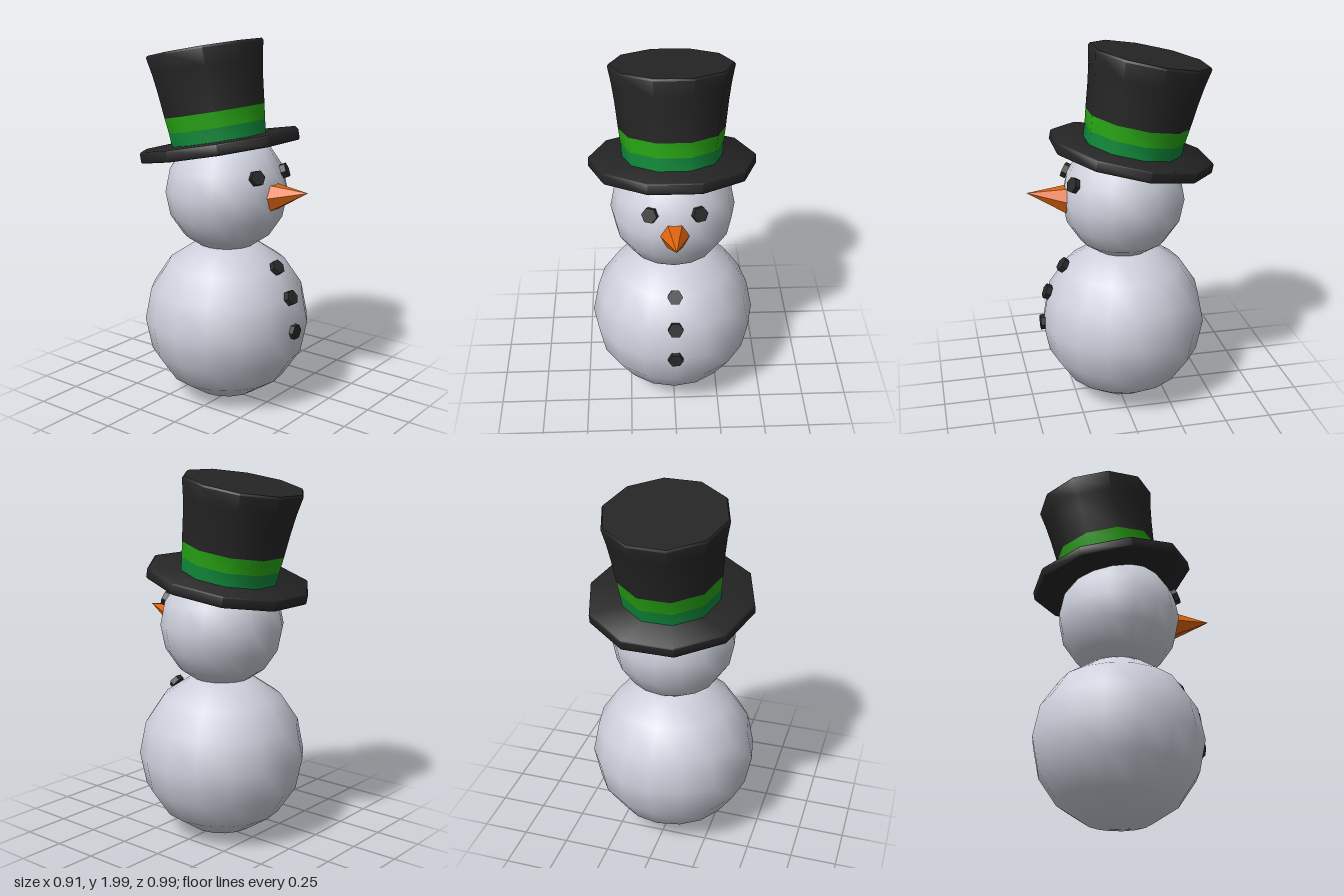
import * as THREE from 'three';
import { toCreasedNormals } from 'three/addons/utils/BufferGeometryUtils.js';

const material = (name, color) => {
  const m = new THREE.MeshStandardMaterial({ color });
  m.name = name;
  return m;
};

export function createModel() {
  const snow = material('snow', 0xcdd0dc);
  const black = material('black felt', 0x252525);
  const coal = material('coal', 0x2a2a2a);
  const carrot = material('carrot orange', 0xe0650f);
  const lightGreen = material('light green', 0x28a514);
  const darkGreen = material('dark green', 0x10893a);

  const model = new THREE.Group();
  model.name = 'snowman';

  const add = (name, geometry, mat, parent = model) => {
    const mesh = new THREE.Mesh(geometry, mat);
    mesh.name = name;
    parent.add(mesh);
    return mesh;
  };

  // Snowballs
  const ball = (name, radius, y) => {
    const mesh = add(name, new THREE.SphereGeometry(radius, 16, 8), snow);
    mesh.position.set(0, y, -0.03);
  };
  ball('body', 0.457, 0.462);
  ball('head', 0.335, 1.18);

  // Six-sided coal discs, facing along a given direction
  const up = new THREE.Vector3(0, 1, 0);
  const lump = (name, position, yaw, pitch) => {
    const geometry = toCreasedNormals(
      new THREE.CylinderGeometry(0.042, 0.042, 0.03, 6).rotateY(Math.PI / 6).rotateX(Math.PI / 2), 0.5);
    const mesh = add(name, geometry, coal);
    mesh.position.set(...position);
    mesh.rotation.set(-pitch, yaw, 0, 'YXZ');
  };
  lump('leftEye', [0.127, 1.305, 0.262], 0.4, 0.38);
  lump('rightEye', [-0.127, 1.305, 0.262], -0.4, 0.38);
  lump('topButton', [0, 0.802, 0.307], 0, 0.65);
  lump('middleButton', [0, 0.65, 0.398], 0, 0.42);
  lump('bottomButton', [0, 0.465, 0.426], 0, 0);

  // Carrot nose, tipped slightly upward
  const noseBase = new THREE.Vector3(0, 1.187, 0.275);
  const noseTip = new THREE.Vector3(0, 1.235, 0.494);
  const axis = noseTip.clone().sub(noseBase);
  const length = axis.length();
  const nose = add('nose', toCreasedNormals(
    new THREE.ConeGeometry(0.08, length, 6).rotateY(Math.PI / 6).translate(0, length / 2, 0), 0.5), carrot);
  nose.position.copy(noseBase);
  nose.quaternion.setFromUnitVectors(up, axis.normalize());

  // Ten-sided top hat, tilted back
  const hat = new THREE.Group();
  hat.name = 'hat';
  hat.position.set(0, 1.457, -0.079);
  hat.rotation.x = -0.195;
  model.add(hat);

  const turned = (name, profile, mat) => {
    const points = profile.map(([r, y]) => new THREE.Vector2(r, y));
    const geometry = new THREE.LatheGeometry(points, 10, Math.PI / 2);
    add(name, toCreasedNormals(geometry, 0.85), mat, hat);
  };
  turned('hatBrim', [[0, -0.06], [0.438, -0.06], [0.445, -0.053], [0.445, -0.007], [0.438, 0], [0, 0]], black);
  turned('hatBandLower', [[0.266, -0.005], [0.272, 0.072]], darkGreen);
  turned('hatBandUpper', [[0.272, 0.072], [0.282, 0.155]], lightGreen);
  turned('hatCrown', [[0.282, 0.155], [0.296, 0.29], [0.31, 0.39], [0.328, 0.482], [0.32, 0.493], [0, 0.493]], black);

  return model;
}
